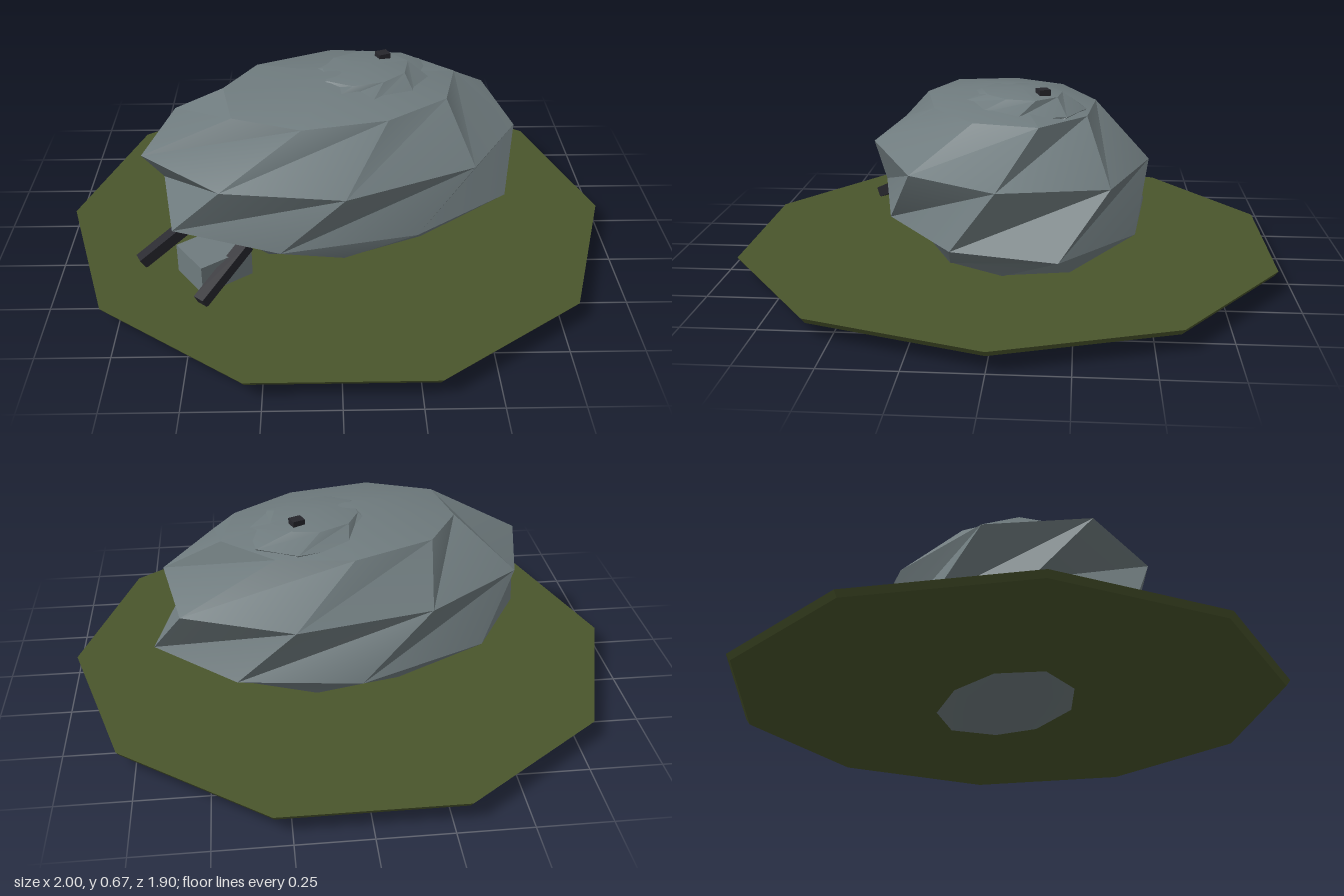
import * as THREE from 'three';
import { toCreasedNormals } from 'three/addons/utils/BufferGeometryUtils.js';

const mat = (name, color) => Object.assign(new THREE.MeshStandardMaterial({ color }), { name });

// Nine-sided twisted boulder centred on the origin, 0.66 tall; lower half is the upper one inverted.
function boulderGeometry() {
  const P = [[0.65, 0], [0.47, 0.3], [0.02, 0.5], [-0.4, 0.45], [-0.69, 0.2],
    [-0.61, -0.15], [-0.27, -0.4], [0.2, -0.5], [0.58, -0.36]];
  const n = P.length;
  const ring = (shift, s, y) => P.map((_, k) => {
    const p = P[(k + shift) % n];
    return [p[0] * s, y, p[1] * s];
  });
  const rings = [ring(4, -0.63, 0.265), ring(0, 1, 0.105), ring(5, -1, -0.105), ring(1, 0.63, -0.265)];
  const top = [0, 0.325, 0], bottom = [0, -0.33, 0];
  const v = [];
  const tri = (...c) => c.forEach((p) => v.push(...p));
  for (let k = 0; k < n; k++) {
    const j = (k + 1) % n;
    tri(top, rings[0][j], rings[0][k]);
    // Diagonals run against the twist, which folds the sides into ridges and valleys
    for (let r = 0; r < 3; r++) {
      const u = rings[r], l = rings[r + 1];
      tri(u[k], u[j], l[j]);
      tri(u[k], l[j], l[k]);
    }
    tri(bottom, rings[3][k], rings[3][j]);
  }
  const g = new THREE.BufferGeometry();
  g.setAttribute('position', new THREE.Float32BufferAttribute(v, 3));
  return toCreasedNormals(g, 0.55);
}

export function createModel() {
  const group = new THREE.Group();
  const stone = mat('grey stone', 0x6f7b7e);
  const grass = mat('dark grass green', 0x4a552c);
  const dark = mat('charcoal', 0x26262c);

  const add = (name, geometry, material, x, y, z) => {
    const m = new THREE.Mesh(geometry, material);
    m.name = name;
    m.position.set(x, y, z);
    group.add(m);
    return m;
  };

  // Ten-sided ground plate
  add('groundPlate', new THREE.CylinderGeometry(1, 0.985, 0.02, 10, 1, false, Math.PI / 10)
    .toNonIndexed(), grass, 0, 0.065, 0).geometry.computeVertexNormals();

  // Main boulder and the smaller one breaking through its top
  const rock = boulderGeometry();
  add('boulder', rock, stone, 0, 0.335, 0);
  add('topBoulder', rock, stone, 0.1, 0.58, -0.05).scale.set(0.37, 0.27, 0.46);

  // Dark peg on top
  add('topPeg', new THREE.BoxGeometry(0.045, 0.04, 0.04), dark, 0.17, 0.655, -0.13).rotation.y = 0.4;

  // Stone block at the entrance
  add('entranceBlock', new THREE.BoxGeometry(0.2, 0.12, 0.17), stone, -0.435, 0.125, 0.39).rotation.y = 0.62;

  // Sloping beams either side of the block
  const beam = (name, a, b) => {
    const from = new THREE.Vector3(...a), to = new THREE.Vector3(...b);
    const mid = from.clone().add(to).multiplyScalar(0.5);
    add(name, new THREE.BoxGeometry(0.042, 0.042, from.distanceTo(to)), dark, mid.x, mid.y, mid.z).lookAt(to);
  };
  beam('rightBeam', [-0.7, 0.09, 0.345], [-0.48, 0.23, 0.24]);
  beam('leftBeam', [-0.47, 0.09, 0.575], [-0.32, 0.2, 0.4]);

  return group;
}
